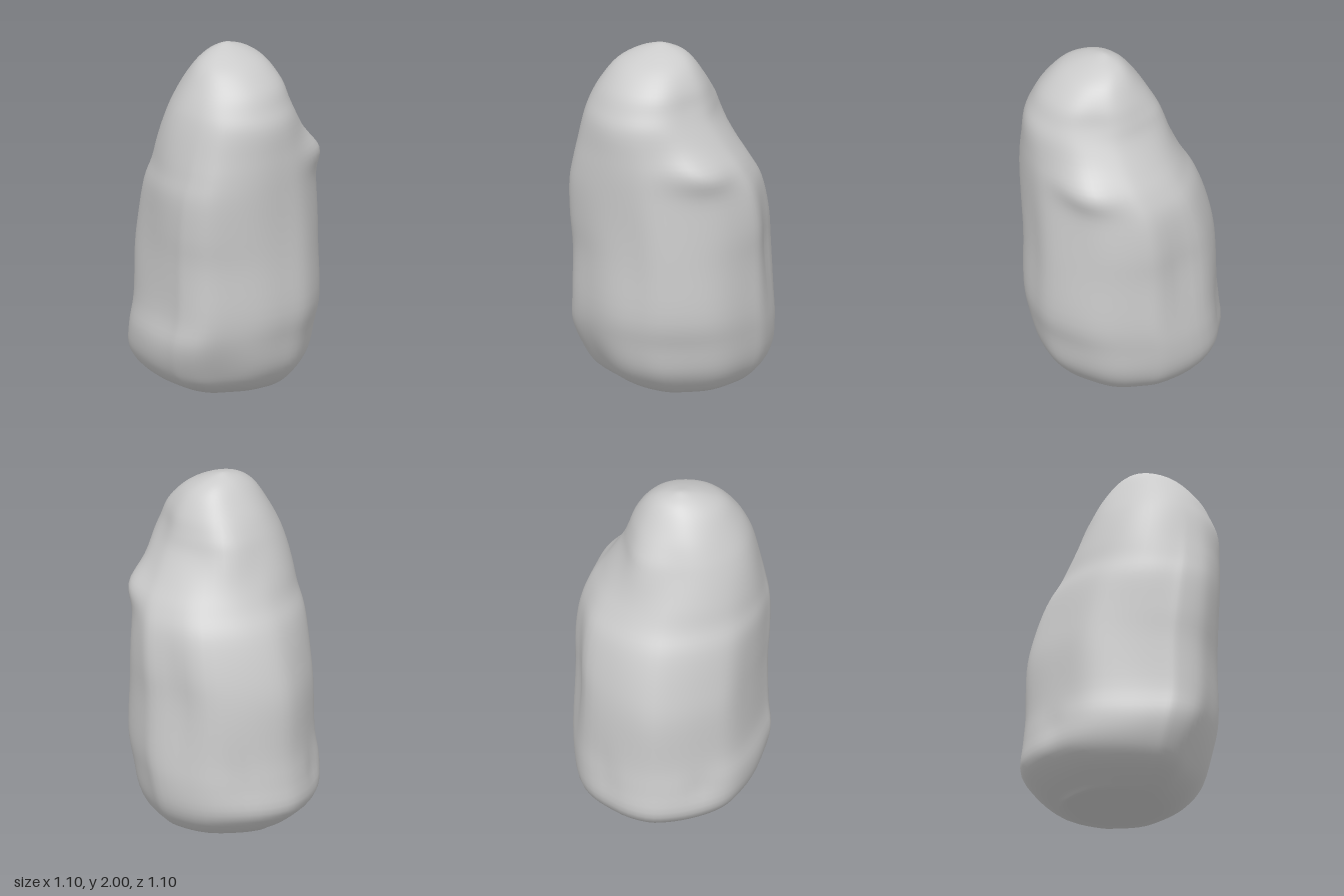
import * as THREE from 'three';

// Plan outline of the boulder, from its left side round by the front
const PLAN = [
  [0.55, -0.05], [0.52, 0.12], [0.46, 0.28], [0.36, 0.42], [0.24, 0.53], [0.1, 0.55],
  [0, 0.52], [-0.2, 0.44], [-0.38, 0.33], [-0.47, 0.2], [-0.54, 0], [-0.54, -0.18],
  [-0.41, -0.38], [-0.2, -0.53], [0.08, -0.55], [0.22, -0.5], [0.38, -0.4], [0.48, -0.26],
];

// Extents at each height: y, xMin, xMax, zMin, zMax
const LEVELS = [
  [0.015, -0.04, -0.04, 0, 0], [0.005, -0.28, 0.2, -0.2, 0.18], [0.03, -0.34, 0.32, -0.37, 0.3],
  [0.1, -0.46, 0.41, -0.47, 0.44], [0.2, -0.55, 0.475, -0.525, 0.51], [0.35, -0.54, 0.51, -0.545, 0.55],
  [0.52, -0.52, 0.545, -0.545, 0.535], [0.8, -0.51, 0.54, -0.535, 0.53], [1.0, -0.47, 0.535, -0.53, 0.545],
  [1.2, -0.41, 0.53, -0.5, 0.55], [1.33, -0.345, 0.525, -0.445, 0.53], [1.45, -0.3, 0.515, -0.37, 0.505],
  [1.6, -0.24, 0.5, -0.28, 0.47], [1.7, -0.2, 0.46, -0.245, 0.435], [1.8, -0.15, 0.41, -0.21, 0.38],
  [1.9, -0.08, 0.31, -0.15, 0.3], [1.96, -0.02, 0.2, -0.08, 0.2], [1.992, 0.04, 0.11, 0.01, 0.1],
  [2, 0.07, 0.07, 0.05, 0.05],
];

const spline = (points, closed) => new THREE.CatmullRomCurve3(points, closed, 'catmullrom', 0.5);

// Dents and swellings: depth, angle round the plan (+x towards +z), height, angular width, height width
const FEATURES = [
  [0.12, -0.72, 1.37, 0.4, 0.1],   // rear left shoulder
  [-0.06, -0.95, 1.72, 0.4, 0.14], // scoop above the shoulder
  [0.03, -1.25, 1.15, 0.2, 0.3],   // ridge at the edge of the rear left face
  [-0.05, -1.7, 0.85, 0.2, 0.35],  // hollow beside that ridge
  [0.12, -2.35, 1.65, 0.4, 0.15],  // rear right of the peak
  [-0.05, 2.35, 1.78, 0.5, 0.15],  // front right of the peak
  [-0.03, -2.36, 0.35, 0.15, 0.2], // groove in the rear right foot
  [-0.03, 2.9, 0.35, 0.15, 0.1],   // chip in the right foot
  [-0.08, 0.95, 0.12, 0.4, 0.25],  // undercut below the front ridge
  [0.02, 1.7, 0.25, 0.3, 0.2],     // foot of the front ridge
];

// Relative change of radius: light waviness and the features
function relief(angle, y) {
  let r = 1 + 0.004 * Math.sin(3 * angle + 4 * y) + 0.004 * Math.sin(7 * angle - 5 * y + 1);
  for (const [depth, a0, y0, aWidth, yWidth] of FEATURES) {
    const d = Math.atan2(Math.sin(angle - a0), Math.cos(angle - a0));
    r += depth * Math.exp(-((d / aWidth) ** 2) - (((y - y0) / yWidth) ** 2));
  }
  return r;
}

function boulderGeometry(rows, sides) {
  const outline = spline(PLAN.map(([x, z]) => new THREE.Vector3(x / 0.55, 0, z / 0.55)), true);
  const low = spline(LEVELS.map(([y, x0, , z0]) => new THREE.Vector3(x0, y, z0)), false);
  const high = spline(LEVELS.map(([y, , x1, , z1]) => new THREE.Vector3(x1, y, z1)), false);
  const positions = [];
  const indices = [];

  for (let j = 0; j <= rows; j++) {
    const a = low.getPoint(j / rows);
    const b = high.getPoint(j / rows);
    const round = THREE.MathUtils.smoothstep(a.y, 0.9, 1.8);
    for (let i = 0; i < sides; i++) {
      const p = outline.getPoint(i / sides);
      const angle = Math.atan2(p.z, p.x);
      // The plan softens to an ellipse towards the peak
      const px = THREE.MathUtils.lerp(p.x, Math.cos(angle), round);
      const pz = THREE.MathUtils.lerp(p.z, Math.sin(angle), round);
      const r = relief(angle, a.y);
      positions.push(
        (a.x + b.x) / 2 + (px * r * (b.x - a.x)) / 2,
        Math.max(0, a.y),
        (a.z + b.z) / 2 + (pz * r * (b.z - a.z)) / 2,
      );
    }
  }
  for (let j = 0; j < rows; j++) {
    for (let i = 0; i < sides; i++) {
      const n = (i + 1) % sides;
      const a = j * sides + i, b = j * sides + n;
      const c = a + sides, d = b + sides;
      if (j < rows - 1) indices.push(a, c, d);
      else indices.push(a, c, b);
      if (j > 0 && j < rows - 1) indices.push(a, d, b);
    }
  }
  const geometry = new THREE.BufferGeometry();
  geometry.setAttribute('position', new THREE.Float32BufferAttribute(positions, 3));
  geometry.setIndex(indices);
  geometry.computeVertexNormals();
  return geometry;
}

export function createModel() {
  const model = new THREE.Group();
  model.name = 'rock';
  const boulder = new THREE.Mesh(
    boulderGeometry(72, 72),
    new THREE.MeshStandardMaterial({ color: 0xcccccc }),
  );
  boulder.name = 'boulder';
  model.add(boulder);
  return model;
}
